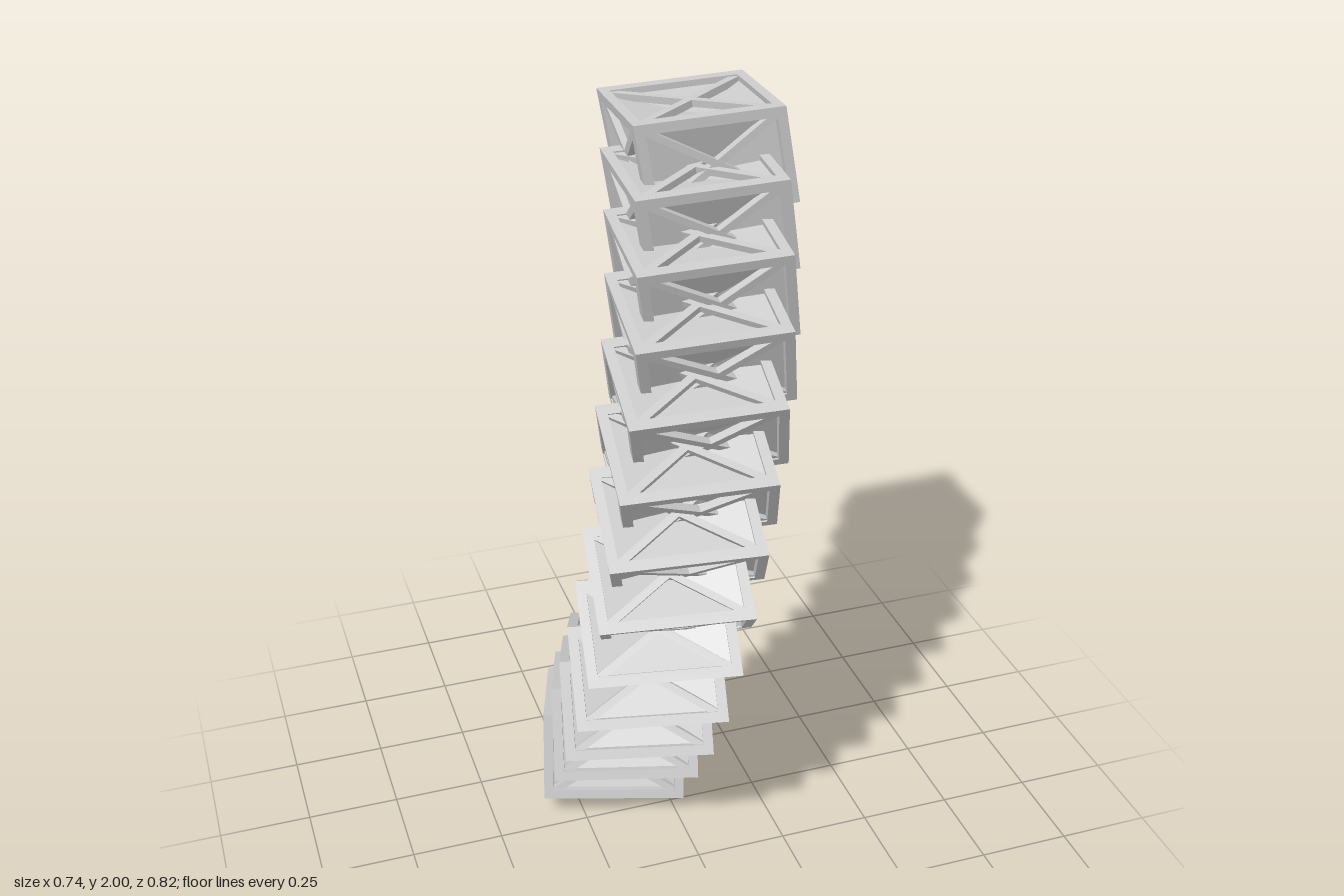
import * as THREE from 'three';
import { mergeGeometries } from 'three/addons/utils/BufferGeometryUtils.js';

const COUNT = 13;
const BEAM = 0.026;
const HALF = [0.195, 0.126, 0.127]; // half size of one crate

// square bar between two points
function bar(a, b, w, t) {
  const dir = b.clone().sub(a);
  const g = new THREE.BoxGeometry(w, t, dir.length());
  const m = new THREE.Matrix4().lookAt(b, a, Math.abs(dir.y) > 0.9 * dir.length()
    ? new THREE.Vector3(1, 0, 0) : new THREE.Vector3(0, 1, 0));
  m.setPosition(a.clone().add(b).multiplyScalar(0.5));
  return g.applyMatrix4(m);
}

// point given along three axes, starting at axis k
function point(k, a, b, c) {
  const p = [0, 0, 0];
  p[k] = a;
  p[(k + 1) % 3] = b;
  p[(k + 2) % 3] = c;
  return new THREE.Vector3(...p);
}

function crateParts() {
  const frame = [], braces = [], panels = [];
  const inner = HALF.map((h) => h - BEAM / 2);
  for (let k = 0; k < 3; k++) {
    const u = inner[(k + 1) % 3], v = inner[(k + 2) % 3];
    // four edge bars along this axis
    for (const su of [-1, 1]) for (const sv of [-1, 1]) {
      frame.push(bar(point(k, -HALF[k], su * u, sv * v), point(k, HALF[k], su * u, sv * v), BEAM, BEAM));
    }
    for (const s of [-1, 1]) {
      const h = s * inner[k];
      // crossed braces on the face
      for (const d of [-1, 1]) {
        braces.push(bar(point(k, h, -u, -d * v), point(k, h, u, d * v), BEAM * 0.7, BEAM * 0.7));
      }
      // sunken four-sided panel
      const corners = [[-1, -1], [1, -1], [1, 1], [-1, 1]].map(([i, j]) => point(k, h, i * u, j * v));
      const apex = point(k, h * 0.75, 0, 0);
      const tris = [];
      for (let i = 0; i < 4; i++) {
        const a = corners[i], b = corners[(i + 1) % 4];
        tris.push(...(s > 0 ? [a, b, apex] : [b, a, apex]));
      }
      const g = new THREE.BufferGeometry().setFromPoints(tris);
      g.computeVertexNormals();
      panels.push(g);
    }
  }
  return {
    frame: mergeGeometries(frame),
    crossBraces: mergeGeometries(braces),
    panels: mergeGeometries(panels),
  };
}

export function createModel() {
  const model = new THREE.Group();
  model.name = 'crateChain';
  const material = new THREE.MeshStandardMaterial({ color: 0xcccccc, flatShading: true, side: THREE.DoubleSide });

  // arc followed by the crate centres, top to bottom
  const path = new THREE.CatmullRomCurve3([
    new THREE.Vector3(0.157, 1.87, -0.25),
    new THREE.Vector3(0.067, 1.485, 0.045),
    new THREE.Vector3(-0.035, 1.035, 0.17),
    new THREE.Vector3(-0.1, 0.575, 0.11),
    new THREE.Vector3(-0.118, 0.165, -0.157),
  ], false, 'catmullrom', 0.5);

  const axis = new THREE.Vector3(0.985, -0.14, 0.064).normalize();
  const lean = new THREE.Matrix4().set(
    1, -0.18, 0, 0,
    0.025, 1, 0, 0,
    0, 0, 1, 0,
    0, 0, 0, 1);
  const stretch = new THREE.Matrix4().makeScale(1, 1, 1.22);
  const parts = crateParts();

  for (let i = 0; i < COUNT; i++) {
    const t = i / (COUNT - 1);
    const m = new THREE.Matrix4().makeRotationAxis(axis, THREE.MathUtils.degToRad(79.3 * t));
    m.premultiply(stretch).multiply(lean).setPosition(path.getPoint(t));
    const crate = new THREE.Group();
    crate.name = `crate${i + 1}`;
    for (const [name, geometry] of Object.entries(parts)) {
      const mesh = new THREE.Mesh(geometry.clone().applyMatrix4(m), material);
      mesh.name = name;
      crate.add(mesh);
    }
    model.add(crate);
  }
  return model;
}
